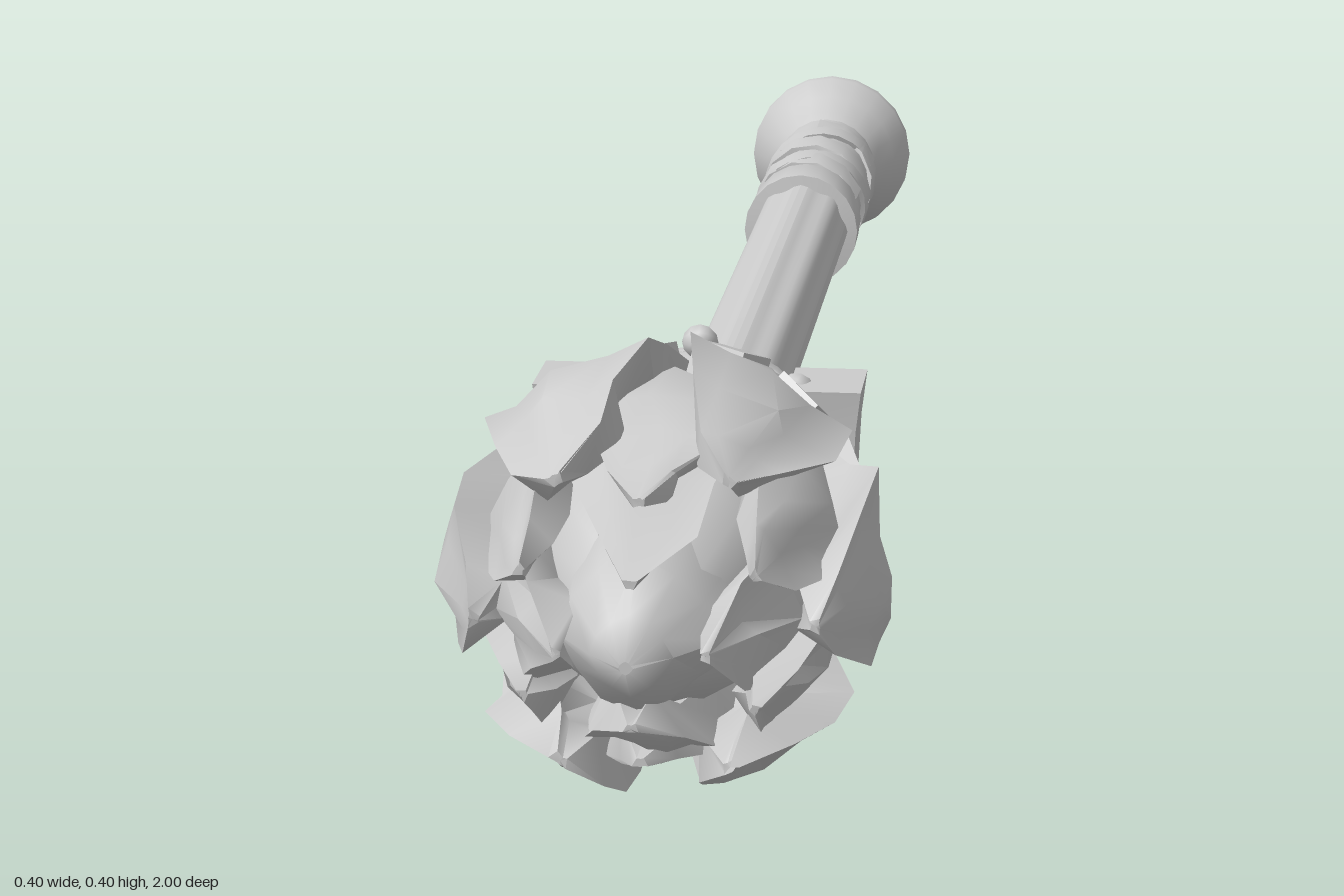
import * as THREE from 'three';
import { toCreasedNormals } from 'three/addons/utils/BufferGeometryUtils.js';

const stone = new THREE.MeshStandardMaterial({ color: 0xcccccc });
stone.name = 'light grey stone';

const AXIS_Y = 0.197;

export function createModel() {
  let seed = 7;
  const jitter = (a) => {
    seed = (seed * 16807) % 2147483647;
    return (seed / 2147483647 - 0.5) * 2 * a;
  };

  const model = new THREE.Group();
  model.name = 'mace';
  const body = new THREE.Group(); // everything is built around the z axis, then lifted
  body.name = 'body';
  body.position.y = AXIS_Y;
  model.add(body);

  function add(name, geometry) {
    const mesh = new THREE.Mesh(geometry, stone);
    mesh.name = name;
    body.add(mesh);
    return mesh;
  }

  // Turned part from [radius, z] pairs in rising z
  function turned(name, profile, sides = 20, crease = 0.7) {
    const g = new THREE.LatheGeometry(profile.map(([r, z]) => new THREE.Vector2(r, z)), sides);
    g.rotateX(Math.PI / 2);
    return add(name, toCreasedNormals(g, crease));
  }

  // Closed skin over rings of points, each ring counter-clockwise about the travel direction
  function loft(rings, crease = 0.75) {
    const n = rings[0].length, last = rings.length - 1;
    const pos = rings.flat().flatMap((p) => [p.x, p.y, p.z]);
    const index = [];
    for (const ring of [rings[0], rings[last]]) {
      const c = new THREE.Vector3();
      ring.forEach((p) => c.addScaledVector(p, 1 / n));
      pos.push(c.x, c.y, c.z);
    }
    const c0 = rings.length * n;
    for (let j = 0; j < n; j++) {
      const k = (j + 1) % n;
      for (let i = 0; i < last; i++) {
        const a = i * n + j, b = i * n + k;
        index.push(a, b, b + n, a, b + n, a + n);
      }
      index.push(c0, k, j, c0 + 1, last * n + j, last * n + k);
    }
    const g = new THREE.BufferGeometry();
    g.setAttribute('position', new THREE.Float32BufferAttribute(pos, 3));
    g.setIndex(index);
    return toCreasedNormals(g, crease);
  }

  // Thick ridged leaf; sections are [z, radius, half width]
  function petal(name, angle, sections, thick, rough) {
    const across = [-1, -0.5, 0, 0.5, 1];
    const rings = sections.map(([z, r, w]) => {
      const k = Math.min(rough, w * 0.25);
      const point = (s, depth) => {
        const y = s * w;
        const pleat = Math.abs(s) === 0.5 ? 0.11 * w : 0;
        const x = r - depth - 0.6 * y * y / (r + 0.03) - pleat - Math.abs(jitter(k));
        return new THREE.Vector3(Math.max(x, 0.002), y + jitter(k), z - Math.abs(jitter(k)));
      };
      const t = Math.min(thick, w * 0.8 + 0.002);
      return [...across.map((s) => point(s, 0)), ...[0.5, 0, -0.5].map((s) => point(s, t))];
    });
    add(name, loft(rings, 0.95)).rotation.z = angle;
  }

  // Shaft with shallow flutes
  const shaftRing = (z) => Array.from({ length: 40 }, (_, j) => {
    const a = j / 40 * Math.PI * 2, r = 0.053 + 0.0025 * Math.cos(a * 8);
    return new THREE.Vector3(r * Math.cos(a), r * Math.sin(a), z);
  });
  add('shaft', loft([shaftRing(-0.6), shaftRing(0.4)], 0.8));

  // Grip sleeve and hollow flared pommel
  turned('grip', [[0.06, -0.93], [0.063, -0.86], [0.06, -0.76], [0.061, -0.63],
    [0.066, -0.62], [0.067, -0.552], [0.05, -0.55]]);
  turned('pommel', [[0, -0.86], [0.05, -0.87], [0.056, -0.93], [0.072, -0.975], [0.088, -1],
    [0.1, -0.992], [0.1, -0.975], [0.082, -0.95], [0.068, -0.92], [0.058, -0.9]]);

  // Flat straps wound around the grip in both directions
  function strap(z0, z1, start, turns, half) {
    const rings = [];
    for (let i = 0; i <= 28; i++) {
      const t = i / 28, a = start + t * turns * Math.PI * 2;
      const z = THREE.MathUtils.lerp(z0, z1, t);
      const p = (r, dz) => new THREE.Vector3(r * Math.cos(a), r * Math.sin(a), z + dz);
      const ring = [p(0.056, -half), p(0.056, half), p(0.066, half), p(0.068, -half)];
      rings.push(turns > 0 ? ring : ring.reverse());
    }
    add('gripStrap', loft(rings));
  }
  strap(-0.64, -0.85, 0.4, 2.2, 0.024);
  strap(-0.66, -0.84, 2.2, -1.3, 0.017);

  // Collar: stepped flange, neck and wide band under the head
  turned('collar', [[0.05, 0.365], [0.075, 0.36], [0.1, 0.372], [0.11, 0.385], [0.11, 0.4],
    [0.098, 0.41], [0.102, 0.425], [0.12, 0.44], [0.125, 0.465], [0.122, 0.495],
    [0.105, 0.52], [0.1, 0.55], [0.12, 0.6], [0.1, 0.65]]);

  // Waisted side plates
  for (const side of [0, Math.PI]) {
    const rings = [[-0.1, 0.153, 0.042], [-0.06, 0.148, 0.037], [0, 0.145, 0.034],
      [0.06, 0.148, 0.037], [0.1, 0.153, 0.042]].map(([y, x, h]) => [
      [0.085, -h], [0.085, h], [x, h], [x, -h],
    ].map(([px, dz]) => new THREE.Vector3(px, y, 0.467 + dz)));
    add('sidePlate', loft(rings, 0.5)).rotation.z = side;
  }

  // Small studs and tilted gems set around the collar
  function around(name, count, offset, r, z, makeGeometry) {
    for (let i = 0; i < count; i++) {
      const a = offset + i / count * Math.PI * 2;
      const m = add(name, makeGeometry(i));
      m.position.set(r * Math.cos(a), r * Math.sin(a), z + (i % 2) * 0.012);
      m.rotation.z = a;
    }
  }
  const stud = () => new THREE.SphereGeometry(0.017, 8, 6);
  around('stud', 9, Math.PI / 2, 0.074, 0.35, stud);
  around('bandStud', 4, Math.PI / 4, 0.128, 0.472, stud);
  around('bandStud', 2, Math.PI / 2, 0.135, 0.472, stud);
  around('gem', 12, 0.26, 0.143, 0.578, (i) => {
    const g = new THREE.BoxGeometry(0.04, 0.052, 0.052);
    return g.rotateX(0.6 + i * 0.25).rotateY(0.25);
  });

  // Core beneath the leaves and the pointed bud at the tip
  turned('headCore', [[0.09, 0.52], [0.125, 0.62], [0.132, 0.7], [0.105, 0.8], [0.06, 0.9], [0, 0.95]], 16, 2);
  const budRing = ([z, r]) => Array.from({ length: 12 }, (_, j) => {
    const a = j / 12 * Math.PI * 2;
    const k = r * (j % 3 ? 0.88 : 1) + jitter(r * 0.06);
    return new THREE.Vector3(k * Math.cos(a), k * Math.sin(a), z);
  });
  add('bud', loft([[0.78, 0.085], [0.86, 0.088], [0.92, 0.07], [0.97, 0.036], [1, 0.006]].map(budRing), 0.9));

  // Tiers of overlapping leaves: name, count, offset, thickness, roughness, sections
  const tiers = [
    ['outerPetal', 6, 0, 0.055, 0.013, [[0.5, 0.1, 0.035], [0.58, 0.14, 0.065], [0.65, 0.183, 0.082],
      [0.72, 0.208, 0.076], [0.79, 0.197, 0.064], [0.85, 0.17, 0.04], [0.885, 0.15, 0.008]]],
    ['valleyPetal', 6, Math.PI / 6, 0.045, 0.012, [[0.57, 0.12, 0.04], [0.67, 0.163, 0.066], [0.76, 0.17, 0.068],
      [0.83, 0.155, 0.052], [0.88, 0.135, 0.03], [0.92, 0.118, 0.006]]],
    ['middlePetal', 4, 0, 0.04, 0.011, [[0.66, 0.12, 0.05], [0.76, 0.148, 0.068], [0.85, 0.138, 0.066],
      [0.92, 0.102, 0.042], [0.97, 0.066, 0.006]]],
  ];
  for (const [name, count, offset, thick, rough, sections] of tiers) {
    for (let i = 0; i < count; i++) {
      const shift = jitter(0.012);
      const moved = sections.map(([z, r, w]) => [z + shift, r, w]);
      petal(name, offset + i / count * Math.PI * 2, moved, thick, rough);
    }
  }
  return model;
}
